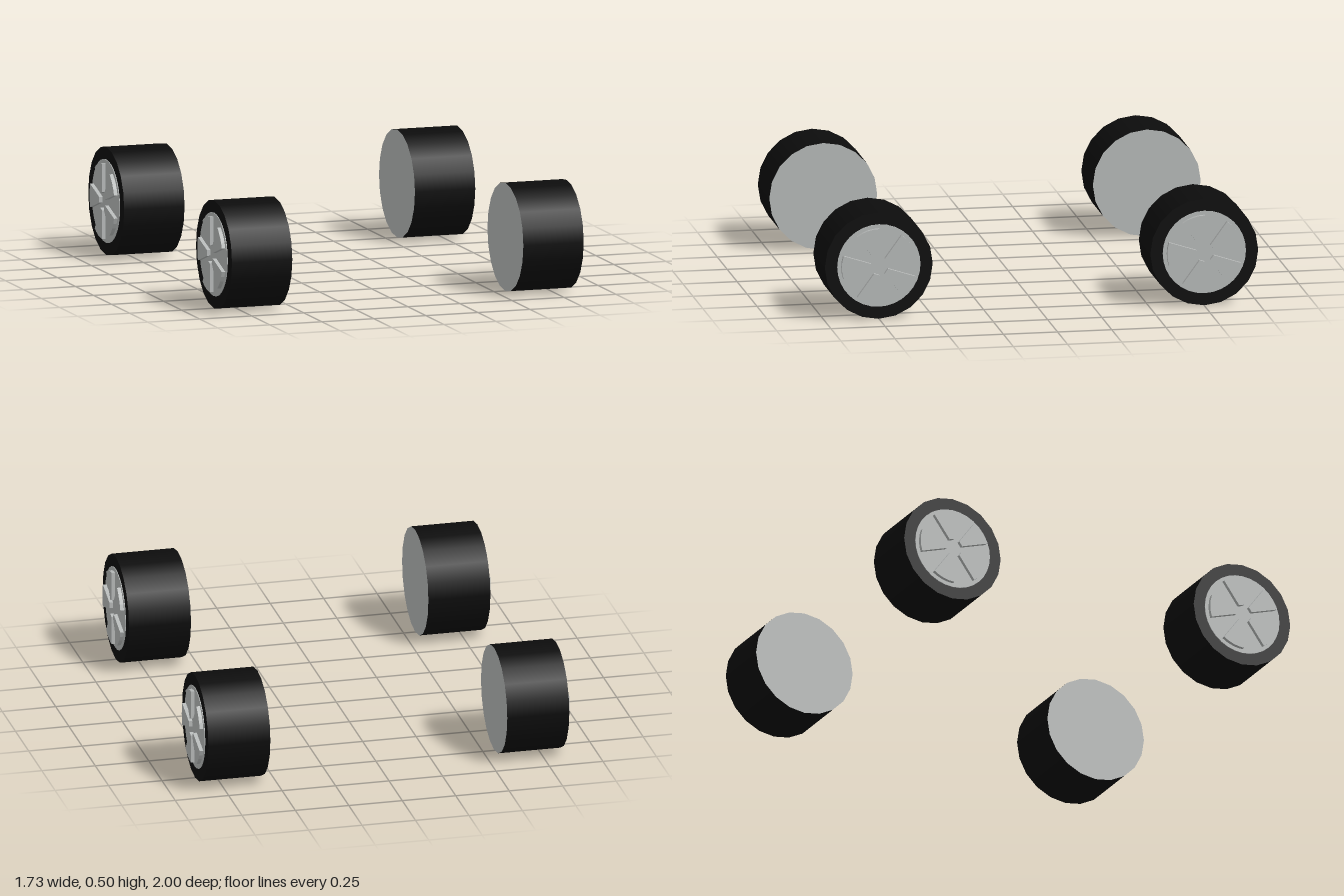
import * as THREE from 'three';

const rubber = new THREE.MeshStandardMaterial({ name: 'black rubber', color: 0x0c0c0c });
const metal = new THREE.MeshStandardMaterial({ name: 'light grey metal', color: 0xb6b9b8 });

const RADIUS = 0.249, WIDTH = 0.29, SIDES = 20;

// Tapered spoke plate around a given angle, extruded outwards along +x
function spokeGeometry(angle) {
  const half = Math.PI / 10, inner = 0.042, outer = 0.174;
  const at = (r, a) => new THREE.Vector2(r * Math.cos(a), r * Math.sin(a));
  const points = [at(inner, angle - half)];
  for (let i = 0; i <= 4; i++) points.push(at(outer, angle + half * (i / 2 - 1)));
  points.push(at(inner, angle + half));
  const geometry = new THREE.ExtrudeGeometry(new THREE.Shape(points), { depth: 0.02, bevelEnabled: false });
  return geometry.rotateY(Math.PI / 2);
}

// One wheel whose outer face looks along +x
function createWheel() {
  const wheel = new THREE.Group();

  // Tyre with a black outer face and a grey inner face
  const tyreGeometry = new THREE.CylinderGeometry(RADIUS, RADIUS, WIDTH, SIDES).rotateZ(-Math.PI / 2);
  const tyre = new THREE.Mesh(tyreGeometry, [rubber, rubber, metal]);
  tyre.name = 'tyre';
  wheel.add(tyre);

  // Thin rim disc on the outer face
  const rim = new THREE.Mesh(new THREE.CylinderGeometry(0.192, 0.192, 0.006, 32).rotateZ(-Math.PI / 2), metal);
  rim.name = 'rim';
  rim.position.x = WIDTH / 2;
  wheel.add(rim);

  // Five raised spokes
  for (let i = 0; i < 5; i++) {
    const spoke = new THREE.Mesh(spokeGeometry(Math.PI + (i * Math.PI * 2) / 5), metal);
    spoke.name = 'spoke';
    spoke.position.x = WIDTH / 2;
    wheel.add(spoke);
  }
  return wheel;
}

export function createModel() {
  const model = new THREE.Group();
  model.name = 'wheelSet';
  const layout = [
    ['frontLeftWheel', 1, 0.751],
    ['frontRightWheel', -1, 0.751],
    ['backLeftWheel', 1, -0.751],
    ['backRightWheel', -1, -0.742],
  ];
  for (const [name, side, z] of layout) {
    const wheel = createWheel();
    wheel.name = name;
    wheel.position.set(side * 0.7, RADIUS, z);
    if (side < 0) wheel.rotation.y = Math.PI;
    model.add(wheel);
  }
  return model;
}
